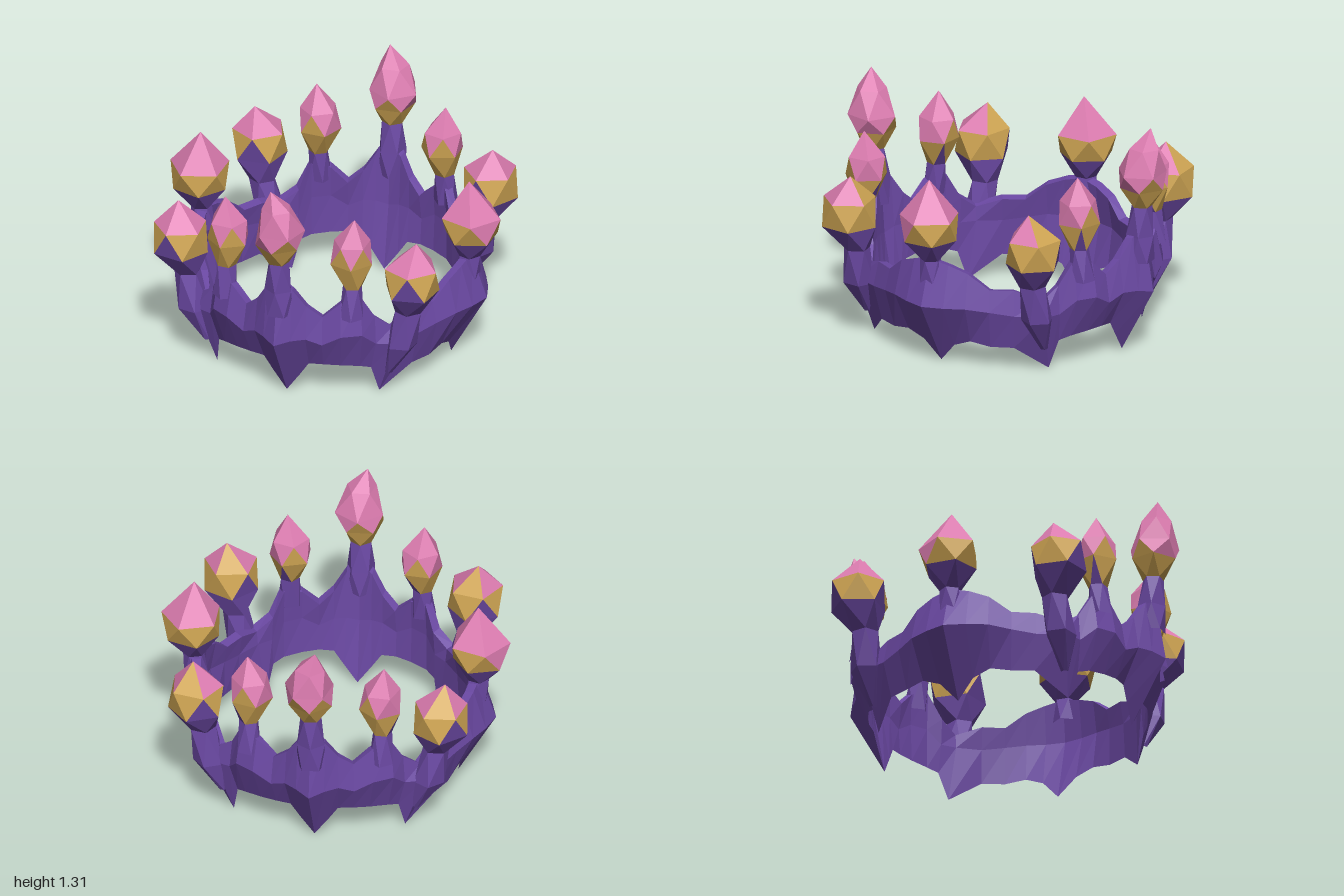
import * as THREE from 'three';

const material = (name, color) => {
  const m = new THREE.MeshStandardMaterial({ color, flatShading: true });
  m.name = name;
  return m;
};

// Flat-shaded mesh from a list of triangle corners
function facetMesh(name, points, mat) {
  const geometry = new THREE.BufferGeometry().setFromPoints(points);
  geometry.computeVertexNormals();
  const mesh = new THREE.Mesh(geometry, mat);
  mesh.name = name;
  return mesh;
}

// One quarter of the band, from front to side:
// angle, bottom shift, bottom y, bottom r, ridge y, ridge r, top y, top r, thickness
const QUARTER = [
  [0, 0, 0.01, 0.74, 0.38, 0.945, 0.76, 0.88, 0.14],
  [5, 1, 0.12, 0.75, 0.40, 0.90, 0.70, 0.86, 0.11],
  [10, 0, 0.20, 0.76, 0.40, 0.86, 0.59, 0.83, 0.08],
  [16, 0, 0.205, 0.77, 0.36, 0.84, 0.52, 0.81, 0.06],
  [23, 0, 0.20, 0.77, 0.42, 0.86, 0.61, 0.82, 0.08],
  [31, 0, 0.19, 0.77, 0.42, 0.85, 0.64, 0.81, 0.08],
  [37, -1, 0.17, 0.76, 0.34, 0.81, 0.50, 0.79, 0.06],
  [44, -4, 0.01, 0.74, 0.34, 0.85, 0.43, 0.81, 0.10],
  [55, 0, 0.14, 0.75, 0.34, 0.80, 0.48, 0.77, 0.06],
  [65, 0, 0.14, 0.74, 0.36, 0.80, 0.48, 0.77, 0.06],
  [74, 0, 0.16, 0.73, 0.38, 0.83, 0.57, 0.78, 0.07],
  [82, 0, 0.12, 0.71, 0.38, 0.86, 0.61, 0.79, 0.09],
  [90, 0, 0.01, 0.68, 0.38, 0.89, 0.635, 0.80, 0.11],
];

function section([angle, shift, yb, rb, ym, rm, yt, rt, t], toAngle) {
  const at = (deg, r, y) => {
    const a = THREE.MathUtils.degToRad(toAngle(deg));
    return new THREE.Vector3(r * Math.sin(a), y, r * Math.cos(a));
  };
  return [
    at(angle + shift, rb, yb),
    at(angle, rm, ym),
    at(angle, rt, yt),
    at(angle, rt - 0.05, yt - 0.01),
    at(angle, rm - t, ym),
  ];
}

function buildBand(mat) {
  const forward = QUARTER.slice(0, -1);
  const backward = QUARTER.slice(1).reverse();
  const sections = [
    ...forward.map((q) => section(q, (a) => a)),
    ...backward.map((q) => section(q, (a) => 180 - a)),
    ...forward.map((q) => section(q, (a) => 180 + a)),
    ...backward.map((q) => section(q, (a) => 360 - a)),
  ];
  const points = [];
  sections.forEach((p, i) => {
    const q = sections[(i + 1) % sections.length];
    for (let j = 0; j < p.length; j++) {
      const k = (j + 1) % p.length;
      points.push(p[j], q[j], q[k], p[j], q[k], p[k]);
    }
  });
  return facetMesh('band', points, mat);
}

// Spires: places are [x sign, z sign, turn], rings are [y, radius, x, z].
// Each band lists the colours around it (p stalk, g collar, k tip),
// first for triangles pointing up, then for those pointing down.
const SPIRES = [
  {
    name: 'tallSpire', places: [[1, 1, 0.7], [1, -1, 0.1]],
    rings: [[0.55, 0.08, 0, 0.86], [0.70, 0.08, 0, 0.86], [0.87, 0.06, 0, 0.87],
      [0.98, 0.125, 0, 0.875], [1.07, 0.14, 0.01, 0.875], [1.21, 0.085, 0, 0.89], [1.32, 0, -0.03, 0.91]],
    bands: ['p/p', 'p/p', 'g/g', 'ggkgk/k', 'k/k', 'k/k'],
  },
  {
    name: 'smallSpire', places: [[1, 1, 1.6], [-1, 1, 1.2], [1, -1, 1.0], [-1, -1, 0.6]],
    rings: [[0.52, 0.07, 0.37, 0.72], [0.70, 0.055, 0.37, 0.70],
      [0.85, 0.12, 0.36, 0.69], [0.97, 0.105, 0.365, 0.69], [1.115, 0, 0.38, 0.695]],
    bands: ['p/p', 'pgpgg/g', 'gkggk/k', 'k/k'],
  },
  {
    name: 'cornerSpire', places: [[1, 1, 0.2], [-1, 1, -0.2], [1, -1, -0.2], [-1, -1, 0.1]],
    rings: [[0.14, 0.02, 0.535, 0.575], [0.33, 0.09, 0.61, 0.58], [0.54, 0.075, 0.65, 0.57],
      [0.68, 0.155, 0.68, 0.60], [0.83, 0.15, 0.68, 0.60], [0.97, 0, 0.70, 0.58]],
    bands: ['p/p', 'p/p', 'p/p', 'gpgpg/g', 'gkkkk/k'],
  },
  {
    name: 'sideSpire', places: [[1, 1, -0.3], [-1, 1, -0.3 + Math.PI]],
    rings: [[0.5, 0.07, 0.78, 0], [0.63, 0.06, 0.79, 0], [0.75, 0.15, 0.80, 0],
      [0.88, 0.17, 0.80, 0], [1.09, 0, 0.79, 0.01]],
    bands: ['p/p', 'p/p', 'g/ggggk', 'k/k'],
  },
];

function buildSpire({ name, rings, bands }, [sx, sz, turn], mats) {
  const SIDES = 5;
  const corners = rings.map(([y, r, x, z], i) =>
    Array.from({ length: SIDES }, (_, j) => {
      const a = turn + ((j + i / 2) * Math.PI * 2) / SIDES;
      return new THREE.Vector3(x * sx + r * Math.sin(a), y, z * sz + r * Math.cos(a));
    }));
  const faces = { p: [], g: [], k: [] };
  bands.forEach((band, i) => {
    const [up, down] = band.split('/');
    const low = corners[i];
    const high = corners[i + 1];
    for (let j = 0; j < SIDES; j++) {
      const n = (j + 1) % SIDES;
      faces[up[j % up.length]].push(low[j], low[n], high[j]);
      if (rings[i + 1][1] > 0) faces[down[j % down.length]].push(high[j], low[n], high[n]);
    }
  });
  const spire = new THREE.Group();
  spire.name = name;
  spire.add(
    facetMesh('stalk', faces.p, mats.p),
    facetMesh('collar', faces.g, mats.g),
    facetMesh('tip', faces.k, mats.k),
  );
  return spire;
}

export function createModel() {
  const mats = {
    p: material('purple', 0x6a48a2),
    g: material('gold', 0xcfa553),
    k: material('pink', 0xdc7cb0),
  };
  const crown = new THREE.Group();
  crown.name = 'crown';
  crown.add(buildBand(mats.p));
  for (const spec of SPIRES) {
    for (const place of spec.places) crown.add(buildSpire(spec, place, mats));
  }
  return crown;
}
